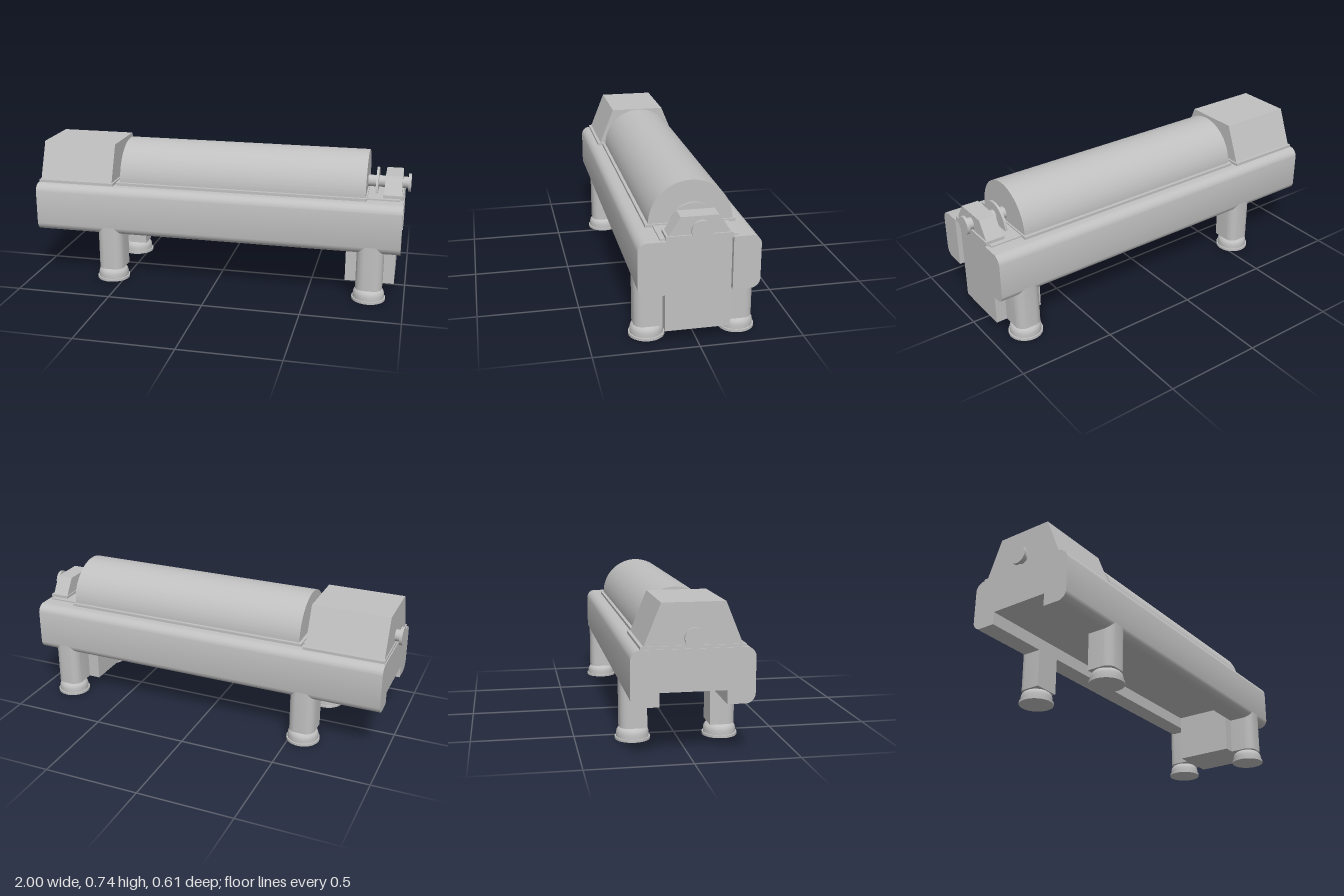
import * as THREE from 'three';
import { toCreasedNormals } from 'three/addons/utils/BufferGeometryUtils.js';

export function createModel() {
  const model = new THREE.Group();
  model.name = 'decanterCentrifuge';
  const steel = new THREE.MeshStandardMaterial({ color: 0xc0c0c0 });
  steel.name = 'light grey steel';

  const add = (name, geometry, x = 0, y = 0, z = 0) => {
    const mesh = new THREE.Mesh(geometry, steel);
    mesh.name = name;
    mesh.position.set(x, y, z);
    model.add(mesh);
    return mesh;
  };

  // Box given by its limits; centred on z = 0
  const box = (name, x0, x1, y0, y1, halfZ) =>
    add(name, new THREE.BoxGeometry(x1 - x0, y1 - y0, halfZ * 2), (x0 + x1) / 2, (y0 + y1) / 2);

  // Cross-section (z, y) swept along x
  const sweepX = (name, shape, x0, x1) => {
    const g = new THREE.ExtrudeGeometry(shape, { depth: x1 - x0, bevelEnabled: false, curveSegments: 10 });
    g.rotateY(Math.PI / 2);
    return add(name, toCreasedNormals(g, 0.5), x0);
  };

  // Round disc or shaft along x
  const rod = (name, radius, x0, x1, y) => {
    const g = new THREE.CylinderGeometry(radius, radius, x1 - x0, 40);
    g.rotateZ(Math.PI / 2);
    return add(name, g, (x0 + x1) / 2, y);
  };

  const trapezoid = (baseHalf, topHalf, y0, y1) => new THREE.Shape([
    new THREE.Vector2(-baseHalf, y0), new THREE.Vector2(baseHalf, y0),
    new THREE.Vector2(topHalf, y1), new THREE.Vector2(-topHalf, y1)]);

  const halfDisc = (radius, y) => {
    const s = new THREE.Shape();
    s.absarc(0, y, radius, 0, Math.PI, false);
    s.closePath();
    return s;
  };

  // Rectangle with its two outer corners rounded; a is the inner edge, b the outer
  const outerRounded = (a, b, y0, y1, r) => {
    const d = Math.sign(b - a) * r;
    const s = new THREE.Shape();
    s.moveTo(a, y0);
    s.lineTo(b - d, y0);
    s.quadraticCurveTo(b - d * 0.29 + d * 0.12, y0 + r * 0.17, b, y0 + r);
    s.lineTo(b, y1 - r);
    s.quadraticCurveTo(b - d * 0.17, y1 - r * 0.17, b - d, y1);
    s.lineTo(a, y1);
    s.closePath();
    return s;
  };

  // Frame: two side rails joined by a raised deck, and a cabinet below one end
  for (const s of [1, -1]) {
    sweepX(s > 0 ? 'backRail' : 'frontRail', outerRounded(s * 0.155, s * 0.285, 0.26, 0.52, 0.04), -0.97, 0.97);
  }
  box('deck', -0.97, 0.94, 0.325, 0.52, 0.155);
  box('driveCabinet', 0.69, 0.945, 0.065, 0.52, 0.155);

  // Legs and levelling feet
  const footProfile = [[0, 0], [0.087, 0], [0.087, 0.013], [0.08, 0.013], [0.08, 0.034], [0.077, 0.046],
    [0.071, 0.055], [0.062, 0.062], [0.055, 0.065], [0, 0.065]].map(([r, y]) => new THREE.Vector2(r, y));
  const footGeometry = toCreasedNormals(new THREE.LatheGeometry(footProfile, 40), 0.6);
  for (const x of [-0.567, 0.82]) {
    for (const s of [1, -1]) {
      // Plan outline: first axis runs outwards, second along the frame
      const g = new THREE.ExtrudeGeometry(outerRounded(0.155, 0.285, -0.068, 0.068, 0.04),
        { depth: 0.235, bevelEnabled: false, curveSegments: 10 });
      g.rotateX(-Math.PI / 2);
      g.rotateY(-s * Math.PI / 2);
      add('leg', toCreasedNormals(g, 0.5), x, 0.065, 0);
      add('foot', footGeometry, x, 0, s * 0.218);
    }
  }

  // Base plates on top of the frame
  box('centreStrip', -0.56, 0.95, 0.515, 0.527, 0.18);
  box('hoodPlate', -0.965, -0.55, 0.515, 0.534, 0.24);
  box('drumPlate', -0.535, 0.787, 0.515, 0.534, 0.215);
  box('bearingPlate', 0.865, 0.965, 0.515, 0.541, 0.155);

  // Covers
  sweepX('gearHood', trapezoid(0.225, 0.146, 0.533, 0.727), -0.96, -0.56);
  const drum = halfDisc(0.2, 0.535);
  drum.curves[0].aEndAngle = Math.PI;
  const cover = new THREE.ExtrudeGeometry(drum, { depth: 1.3, bevelEnabled: false, curveSegments: 48 });
  cover.rotateY(Math.PI / 2);
  add('drumCover', toCreasedNormals(cover, 0.5), -0.52);
  sweepX('bearingBlock', trapezoid(0.145, 0.088, 0.54, 0.627), 0.87, 0.957);

  // Shafts, end flanges and the guard disc
  rod('driveShaft', 0.03, 0.77, 0.99, 0.573);
  rod('driveFlange', 0.047, 0.985, 1, 0.573);
  rod('gearShaft', 0.03, -0.99, -0.95, 0.573);
  rod('gearFlange', 0.047, -1, -0.985, 0.573);
  const guard = new THREE.ExtrudeGeometry(halfDisc(0.11, 0.535), { depth: 0.012, bevelEnabled: false, curveSegments: 32 });
  guard.rotateY(Math.PI / 2);
  add('guardDisc', toCreasedNormals(guard, 0.5), 0.823);

  return model;
}
